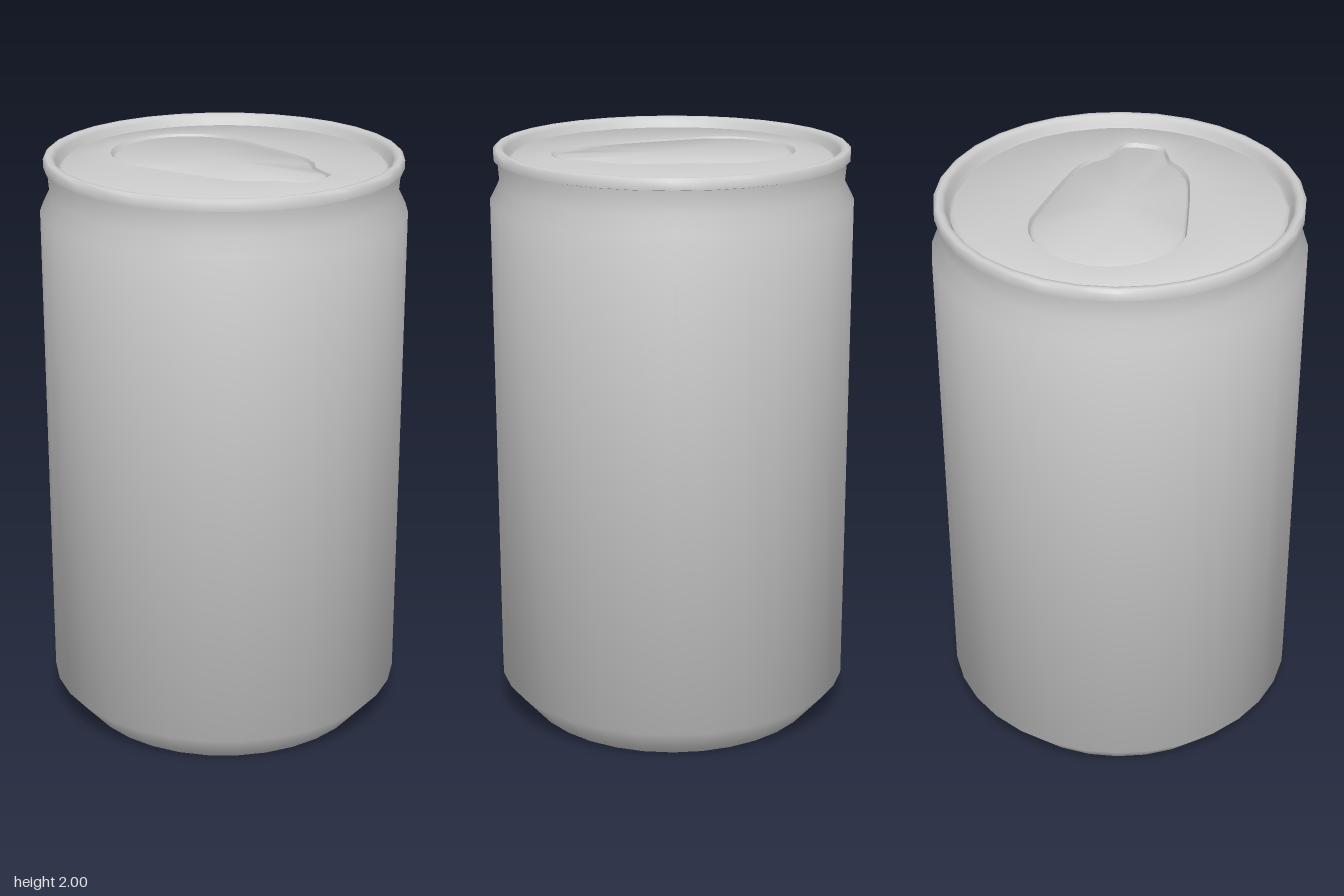
import * as THREE from 'three';
import { toCreasedNormals } from 'three/addons/utils/BufferGeometryUtils.js';

const SIDES = 32;
const material = new THREE.MeshStandardMaterial({ color: 0xcccccc });

function addMesh(group, name, geometry) {
  const mesh = new THREE.Mesh(toCreasedNormals(geometry, 0.95), material);
  mesh.name = name;
  group.add(mesh);
}

function lathe(profile) {
  return new THREE.LatheGeometry(profile.map(([r, y]) => new THREE.Vector2(r, y)), SIDES);
}

// Outline of the opening: one half from back to front, mirrored to the other side
function openingOutline() {
  const half = [];
  for (let i = 0; i <= 8; i++) {
    const a = (i / 8) * Math.PI / 2;
    half.push([0.253 * Math.sin(a), -0.175 - 0.245 * Math.cos(a)]);
  }
  half.push([0.247, -0.13], [0.24, -0.08], [0.231, -0.02], [0.222, 0.04], [0.211, 0.1],
    [0.2, 0.16], [0.185, 0.21], [0.155, 0.26], [0.108, 0.302], [0.085, 0.355],
    [0.068, 0.396], [0.035, 0.404], [0, 0.406]);
  const mirrored = half.slice(1, -1).reverse().map(([x, z]) => [-x, z]);
  return [...half, ...mirrored];
}

// Rings of equal point count, from outside to inside, joined into a surface facing up
function loft(rings) {
  const n = rings[0].length;
  const index = [];
  for (let r = 0; r < rings.length - 1; r++) {
    for (let i = 0; i < n; i++) {
      const a = r * n + i, b = r * n + (i + 1) % n;
      index.push(a, a + n, b, b, a + n, b + n);
    }
  }
  const geometry = new THREE.BufferGeometry();
  geometry.setAttribute('position', new THREE.Float32BufferAttribute(rings.flat(2), 3));
  geometry.setIndex(index);
  return geometry;
}

export function createModel() {
  const group = new THREE.Group();

  // Body with recessed base, chamfered foot, straight wall and narrowed neck
  addMesh(group, 'body', lathe([
    [0, 0.15], [0.513, 0.15], [0.515, 0], [0.615, 0.115],
    [0.615, 1.815], [0.582, 1.88], [0.589, 1.962],
  ]));

  // Rolled rim and the short wall dropping to the lid
  addMesh(group, 'rim', lathe([
    [0.585, 1.958], [0.6, 1.962], [0.6, 1.99], [0.592, 1.999], [0.582, 2],
    [0.571, 1.997], [0.562, 1.985], [0.556, 1.965], [0.546, 1.95],
  ]));

  // Lid rising from a groove at the rim to the edge of the opening
  const outline = openingOutline();
  const edgeY = 1.976;
  const circle = (radius, y) => outline.map(([x, z]) => {
    const s = radius / Math.hypot(x, z);
    return [x * s, y, z * s];
  });
  const scaled = ([scale, y]) => outline.map(([x, z]) => [x * scale, y, z * scale]);
  addMesh(group, 'lid', loft([
    circle(0.552, 1.948), circle(0.535, 1.966), scaled([1, edgeY]),
  ]));

  // Opening panel set off by a shallow groove
  addMesh(group, 'openingPanel', loft([
    [1, edgeY], [0.975, edgeY - 0.014], [0.94, edgeY - 0.004], [0.001, edgeY],
  ].map(scaled)));

  return group;
}
